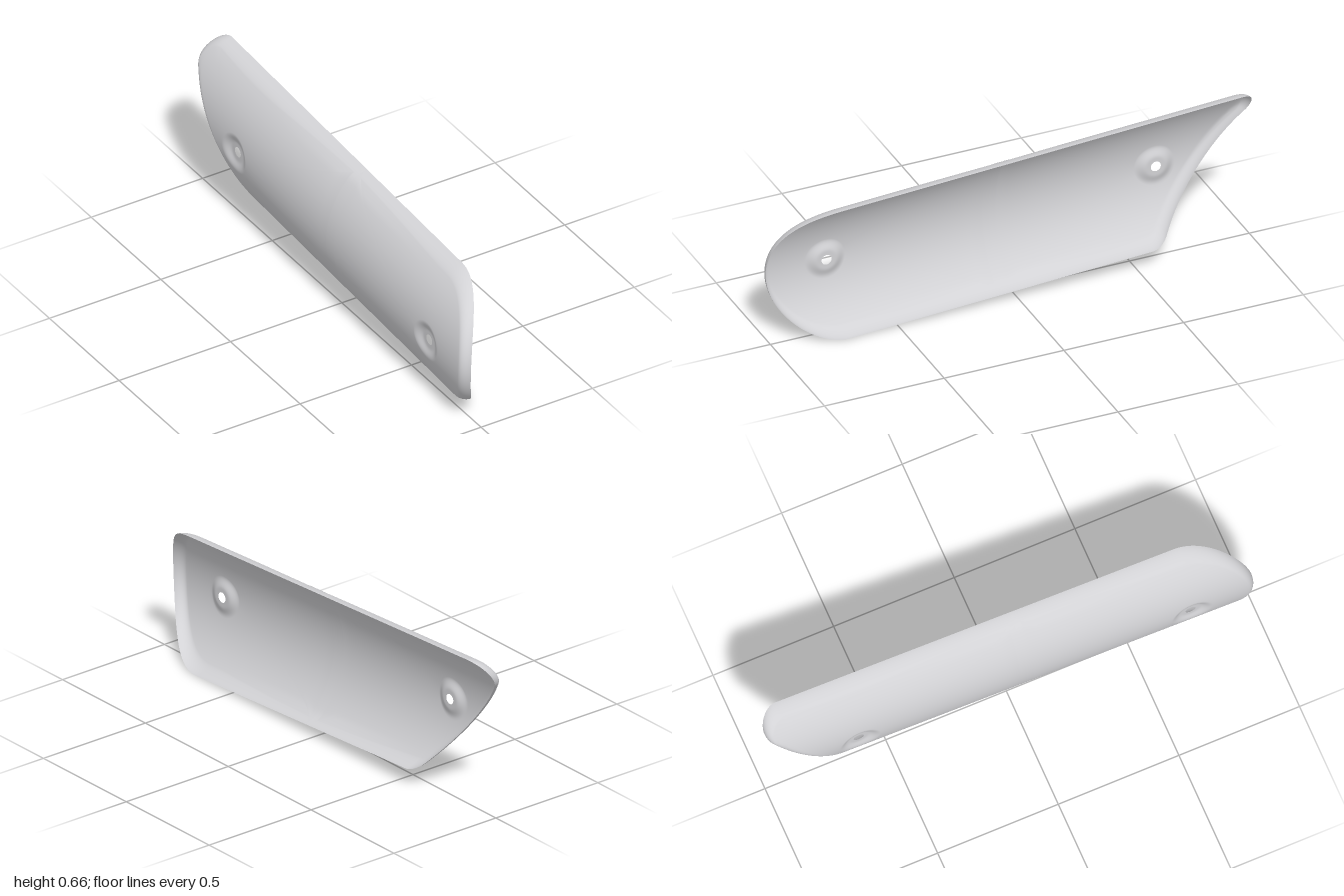
import * as THREE from 'three';
import { mergeVertices } from 'three/addons/utils/BufferGeometryUtils.js';

const SEAM = 0.05, LIP = 0.04, ROUND = 0.03, HOLE = 0.021, BOSS = 0.085;
const TILT = Math.atan(0.056), SLANT = THREE.MathUtils.degToRad(219.07);
const TOP = Math.PI / 2 - TILT, BOTTOM = -Math.PI / 2 - TILT;

// The outline is drawn with { z, y } points
function arc(z, y, r, a0, a1, n) {
  const pts = [];
  for (let i = 0; i <= n; i++) {
    const a = a0 + (a1 - a0) * i / n;
    pts.push({ z: z + r * Math.cos(a), y: y + r * Math.sin(a) });
  }
  return pts;
}

// Points strictly between two ends, optionally crowded towards both ends
function between(a, b, n, crowd = false) {
  const pts = [];
  for (let i = 1; i < n; i++) {
    const t = crowd ? (1 - Math.cos(Math.PI * i / n)) / 2 : i / n;
    pts.push({ z: a.z + (b.z - a.z) * t, y: a.y + (b.y - a.y) * t });
  }
  return pts;
}

function seamPoint(a, b) {
  const t = (SEAM - a.z) / (b.z - a.z);
  return { z: SEAM, y: a.y + (b.y - a.y) * t };
}

const nose = arc(0.714, 0.287, 0.286, BOTTOM, TOP, 64);
const tip = arc(-0.926, 0.592, 0.073, TOP, SLANT, 24);
const heel = arc(-0.55, 0.183, 0.11, SLANT, BOTTOM + 2 * Math.PI, 16);
const last = (list) => list[list.length - 1];
const seamTop = seamPoint(last(nose), tip[0]);
const seamBottom = seamPoint(last(heel), nose[0]);
const seam = between(seamBottom, seamTop, 32, true);

const frontEdge = [seamBottom, ...between(seamBottom, nose[0], 20), ...nose,
  ...between(last(nose), seamTop, 20), seamTop];
const backEdge = [seamTop, ...between(seamTop, tip[0], 28), ...tip, ...between(last(tip), heel[0], 28),
  ...heel, ...between(last(heel), seamBottom, 20), seamBottom];
const rim = [...frontEdge, ...backEdge];

// Each half of the sheet surrounds one screw hole
const halves = [
  { hole: { z: 0.735, y: 0.275 }, loop: [...frontEdge, ...seam.slice().reverse()] },
  { hole: { z: -0.64, y: 0.35 }, loop: [...backEdge, ...seam] },
];

function rimDistance(z, y) {
  let best = Infinity;
  for (let i = 0; i < rim.length - 1; i++) {
    const a = rim[i], b = rim[i + 1], dz = b.z - a.z, dy = b.y - a.y;
    const len = dz * dz + dy * dy;
    if (len < 1e-12) continue;
    const t = THREE.MathUtils.clamp(((z - a.z) * dz + (y - a.y) * dy) / len, 0, 1);
    best = Math.min(best, Math.hypot(z - a.z - dz * t, y - a.y - dy * t));
  }
  return best;
}

// Circular trough that climbs gently towards the back
function trough(z, y) {
  const v = y - (0.288 + 0.056 * (0.715 - z));
  return 0.336 - Math.sqrt(0.381 ** 2 - Math.min(v * v, 0.0815));
}

// Thin sheet with flat pressed pads round the holes and a rounded lip turned in along the rim
function sheetX(z, y, hole) {
  const r = Math.hypot(z - hole.z, y - hole.y);
  const pad = 1 - THREE.MathUtils.smoothstep(r, 0.038, BOSS);
  const base = THREE.MathUtils.lerp(trough(z, y), trough(hole.z, hole.y) + 0.018, pad);
  const k = 1 - Math.min(rimDistance(z, y) / ROUND, 1);
  return base - LIP * Math.sqrt(Math.max(0, 1 - k * k));
}

// Radii along one ray: hole and pad, open sheet, then rings crowding at the lip
function radii(length) {
  const list = [];
  for (let i = 0; i <= 10; i++) list.push(HOLE + (BOSS - HOLE) * i / 10);
  for (let i = 1; i <= 12; i++) list.push(BOSS + (length - ROUND - BOSS) * i / 12);
  for (let i = 1; i <= 10; i++) list.push(length - ROUND * (1 - Math.sin(Math.PI / 2 * i / 10)));
  return list;
}

function sheetGeometry() {
  const positions = [], index = [];
  for (const { hole, loop } of halves) {
    const start = positions.length / 3, n = loop.length;
    let rings = 0;
    for (const p of loop) {
      const dz = p.z - hole.z, dy = p.y - hole.y, length = Math.hypot(dz, dy);
      const rs = radii(length);
      rings = rs.length;
      for (const r of rs) {
        const z = hole.z + dz * r / length, y = hole.y + dy * r / length;
        positions.push(sheetX(z, y, hole), y, z);
      }
    }
    for (let i = 0; i < n; i++) {
      for (let j = 0; j < rings - 1; j++) {
        const a = start + i * rings + j, b = start + ((i + 1) % n) * rings + j;
        index.push(a, a + 1, b + 1, a, b + 1, b);
      }
    }
  }
  const g = new THREE.BufferGeometry();
  g.setAttribute('position', new THREE.Float32BufferAttribute(positions, 3));
  g.setIndex(index);
  const merged = mergeVertices(g, 1e-5);
  merged.computeVertexNormals();
  return merged;
}

export function createModel() {
  const group = new THREE.Group();
  group.name = 'curvedGuard';
  const metal = new THREE.MeshStandardMaterial({ color: 0xd2d2d5, side: THREE.DoubleSide });
  metal.name = 'light grey';
  const sheet = new THREE.Mesh(sheetGeometry(), metal);
  sheet.name = 'guardSheet';
  group.add(sheet);
  return group;
}
